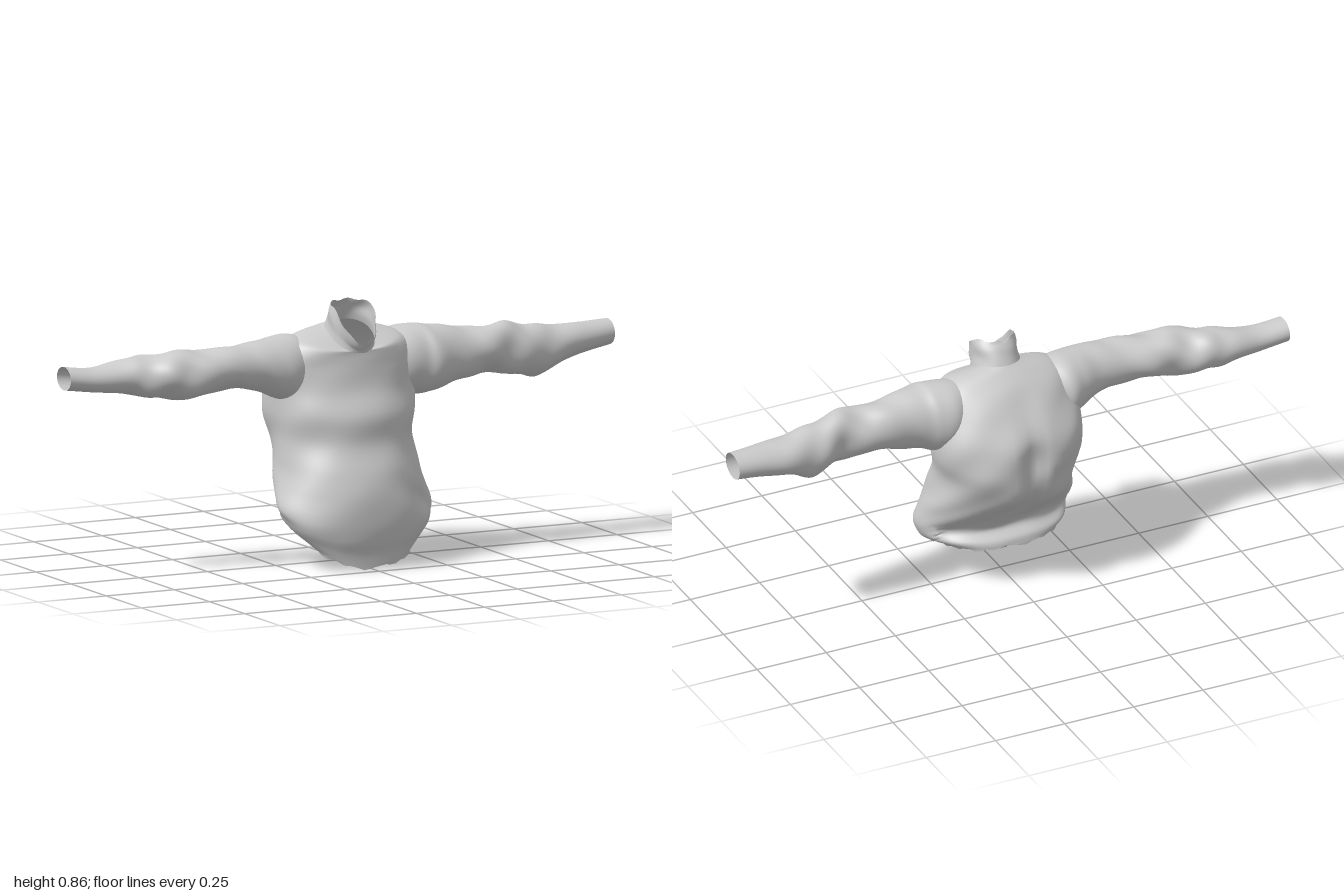
import * as THREE from 'three';

const material = new THREE.MeshStandardMaterial({ color: 0xcccccc, side: THREE.DoubleSide });
const SEGMENTS = 56;

// Smoothly interpolate a list of equal-length parameter rows
function sampleRows(rows, t) {
  const f = t * (rows.length - 1);
  const i = Math.min(Math.floor(f), rows.length - 2);
  const s = f - i;
  const at = (k) => rows[Math.max(0, Math.min(rows.length - 1, k))];
  return rows[i].map((b, k) => {
    const a = at(i - 1)[k], c = at(i + 1)[k], d = at(i + 2)[k];
    return b + 0.5 * s * (c - a + s * (2 * a - 5 * b + 4 * c - d + s * (3 * (b - c) + d - a)));
  });
}

// Open tube of cloth through rings; pointAt(row, angle, t) gives the surface
function loft(name, rows, steps, pointAt, isHole = () => false) {
  const positions = [], index = [];
  for (let j = 0; j <= steps; j++) {
    const t = j / steps, row = sampleRows(rows, t);
    for (let i = 0; i < SEGMENTS; i++) positions.push(...pointAt(row, (i / SEGMENTS) * Math.PI * 2, t));
  }
  for (let j = 0; j < steps; j++) {
    for (let i = 0; i < SEGMENTS; i++) {
      const a = j * SEGMENTS + i, b = j * SEGMENTS + ((i + 1) % SEGMENTS);
      const c = b + SEGMENTS, d = a + SEGMENTS;
      if (isHole(...positions.slice(a * 3, a * 3 + 3))) continue;
      index.push(a, b, c, a, c, d);
    }
  }
  const geometry = new THREE.BufferGeometry();
  geometry.setAttribute('position', new THREE.Float32BufferAttribute(positions, 3));
  geometry.setIndex(index);
  geometry.computeVertexNormals();
  const mesh = new THREE.Mesh(geometry, material);
  mesh.name = name;
  return mesh;
}

const squash = (v, power) => Math.sign(v) * Math.abs(v) ** power;
const bump = (v, centre, width) => Math.exp(-(((v - centre) / width) ** 2));

// Point on a tilted body ring: [front y, back y, half width, front z, back z, tilt power]
function bodyPoint([yFront, yBack, width, zFront, zBack, power], angle, roundness, puff) {
  const c = squash(Math.cos(angle), roundness), s = squash(Math.sin(angle), roundness);
  const rise = Math.max(0, (1 + c) / 2) ** power;
  return [
    s * (width + puff),
    yBack + (yFront - yBack) * rise,
    (zFront + zBack) / 2 + c * ((zFront - zBack) / 2 + puff),
  ];
}

// The torso ends on the ring where the collar begins
const neckRing = [0.705, 0.79, 0.078, 0.13, -0.052, 1.6];

const torsoRings = [
  [0.01, 0.15, 0.2, 0.215, -0.122, 2.5],
  [0.055, 0.175, 0.237, 0.22, -0.115, 2],
  [0.1, 0.205, 0.257, 0.235, -0.085, 1.6],
  [0.16, 0.24, 0.27, 0.245, -0.1, 1.2],
  [0.24, 0.3, 0.255, 0.243, -0.16, 1],
  [0.32, 0.36, 0.24, 0.225, -0.215, 1],
  [0.41, 0.43, 0.235, 0.19, -0.245, 1],
  [0.5, 0.5, 0.252, 0.185, -0.252, 1],
  [0.58, 0.58, 0.257, 0.15, -0.237, 1],
  [0.65, 0.66, 0.25, 0.135, -0.182, 1],
  [0.695, 0.725, 0.232, 0.128, -0.13, 1.3],
  [0.712, 0.765, 0.18, 0.128, -0.083, 1.8],
  neckRing,
];

const collarRings = [
  neckRing,
  [0.715, 0.815, 0.073, 0.134, -0.04, 1.8],
  [0.722, 0.84, 0.074, 0.142, -0.027, 2.2],
  [0.735, 0.862, 0.07, 0.152, -0.01, 2.6],
];

// Sleeve rings: [distance from centre, low y, high y, back z, front z]
const leftSleeveRings = [
  [0.13, 0.57, 0.745, -0.085, 0.06],
  [0.2, 0.535, 0.76, -0.12, 0.09],
  [0.26, 0.53, 0.762, -0.115, 0.097],
  [0.31, 0.54, 0.755, -0.1, 0.107],
  [0.4, 0.56, 0.745, -0.09, 0.08],
  [0.5, 0.575, 0.735, -0.08, 0.07],
  [0.6, 0.572, 0.738, -0.075, 0.06],
  [0.7, 0.548, 0.72, -0.1, 0.05],
  [0.8, 0.585, 0.71, -0.11, 0.035],
  [0.9, 0.61, 0.708, -0.11, 0.015],
  [0.995, 0.625, 0.71, -0.11, -0.005],
];
const rightSleeveRings = [
  [0.13, 0.57, 0.745, -0.085, 0.06],
  [0.2, 0.54, 0.762, -0.13, 0.09],
  [0.26, 0.56, 0.757, -0.115, 0.1],
  [0.33, 0.59, 0.75, -0.085, 0.095],
  [0.42, 0.6, 0.745, -0.07, 0.085],
  [0.53, 0.59, 0.742, -0.075, 0.09],
  [0.63, 0.585, 0.738, -0.09, 0.085],
  [0.72, 0.595, 0.73, -0.11, 0.05],
  [0.8, 0.61, 0.72, -0.11, 0.02],
  [0.9, 0.622, 0.702, -0.1, 0.008],
  [1, 0.635, 0.712, -0.1, 0],
];

function createTorso() {
  const point = (row, angle, t) => {
    // Diagonal folds, calmer on the chest and gone at the hem and neck
    const fade = Math.sin(Math.PI * t) * (0.65 - 0.35 * Math.cos(angle));
    const folds = 0.004 * Math.sin(3 * angle + 24 * t) + 0.003 * Math.sin(7 * angle - 31 * t + 1);
    // Squarer at the hem, rounder towards the neck
    const roundness = 0.8 + 0.15 * Math.min(1, t * 4);
    const p = bodyPoint(row, angle, roundness, folds * fade);
    if (p[2] < 0) {
      // Crease down the spine of the bloused back
      p[2] += 0.04 * bump(p[1], 0.46, 0.16) * bump(p[0], -0.015, 0.035);
    } else {
      // Slanting fold above the left hip
      p[2] -= 0.025 * bump(p[1] + 0.7 * p[0], 0.35, 0.03) * bump(p[0], 0.2, 0.07);
    }
    // Frayed hem
    if (t === 0) p[1] += 0.005 * Math.sin(angle * 17) + 0.004 * Math.sin(angle * 9);
    return p;
  };
  const armhole = (x, y, z) =>
    Math.abs(x) > 0.19 && ((y - 0.65) / 0.085) ** 2 + ((z + 0.015) / 0.085) ** 2 < 1;
  return loft('torso', torsoRings, 72, point, armhole);
}

function createCollar() {
  const point = (row, angle, t) => {
    const p = bodyPoint(row, angle, 0.95, 0.003 * t * Math.sin(5 * angle + 6 * t));
    if (t === 1) p[1] += 0.003 * Math.sin(angle * 7);
    return p;
  };
  return loft('collar', collarRings, 12, point);
}

function createSleeve(name, rings, side) {
  const point = ([x, low, high, back, front], angle, t) => {
    // Uneven wrinkles, gathered around the elbow
    const gather = Math.sin(Math.PI * t) * (0.4 + bump(t, 0.55, 0.2));
    const folds = gather *
      (0.004 * Math.sin(2 * angle + 27 * t + 2 * Math.sin(9 * t)) +
        0.003 * Math.sin(3 * angle - 44 * t + side) * Math.cos(angle + 8 * t));
    return [
      side * x,
      (low + high) / 2 + Math.cos(angle) * ((high - low) / 2 + folds),
      (front + back) / 2 + side * Math.sin(angle) * ((front - back) / 2 + folds),
    ];
  };
  return loft(name, rings, 72, point);
}

export function createModel() {
  const shirt = new THREE.Group();
  shirt.name = 'shirt';
  shirt.add(
    createTorso(),
    createCollar(),
    createSleeve('leftSleeve', leftSleeveRings, 1),
    createSleeve('rightSleeve', rightSleeveRings, -1),
  );
  return shirt;
}
